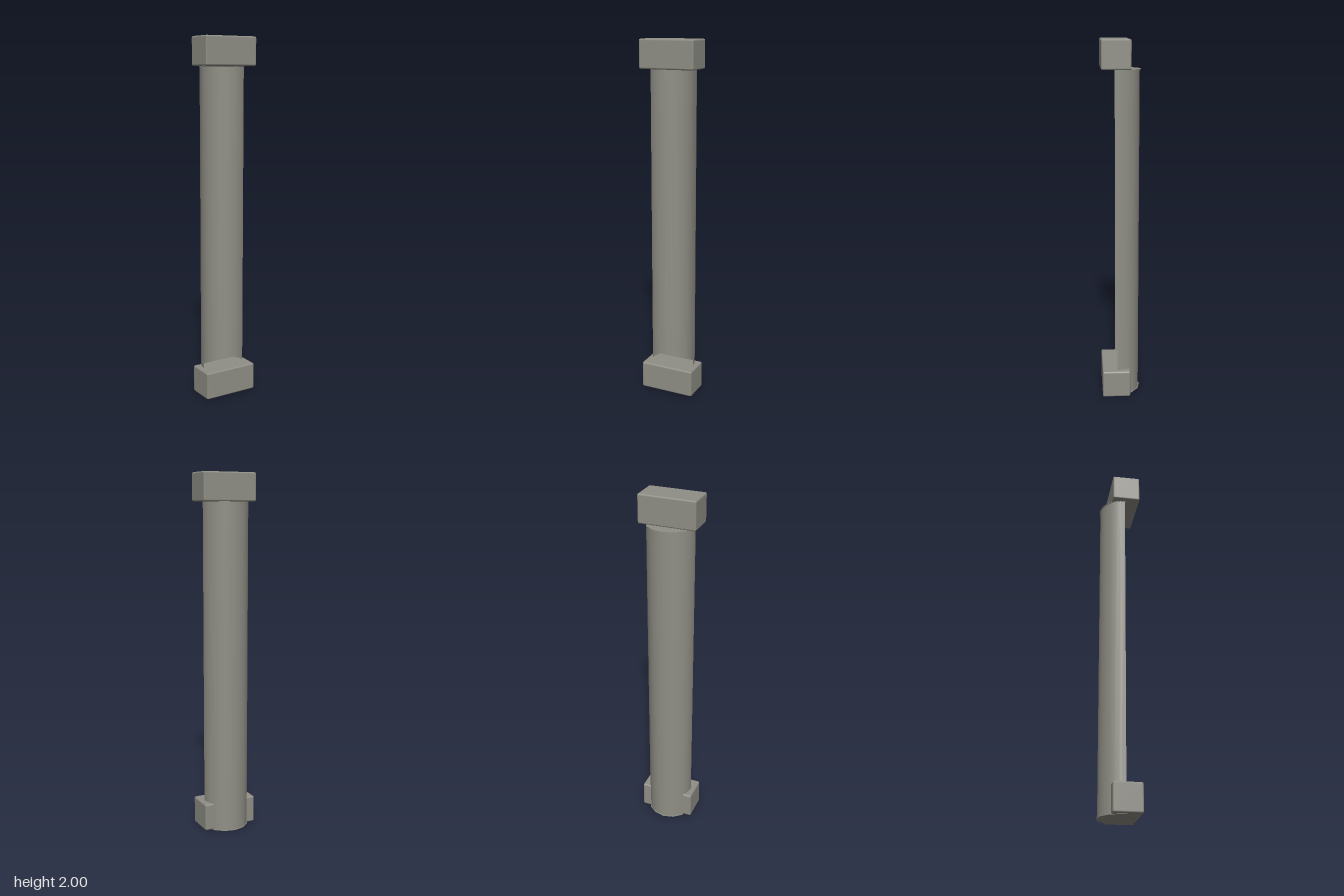
import * as THREE from 'three';
import { RoundedBoxGeometry } from 'three/addons/geometries/RoundedBoxGeometry.js';

export function createModel() {
  const model = new THREE.Group();
  const stone = new THREE.MeshStandardMaterial({ color: 0x908f86, side: THREE.DoubleSide });
  stone.name = 'warm grey';

  const add = (name, geometry, y, z = 0) => {
    const mesh = new THREE.Mesh(geometry, stone);
    mesh.name = name;
    mesh.position.set(0, y, z);
    model.add(mesh);
  };

  // Bevelled blocks at both ends
  const block = () => new RoundedBoxGeometry(0.315, 0.155, 0.158, 1, 0.009);
  add('bottomBlock', block(), 0.0795, 0.029);
  add('topBlock', block(), 1.9225, 0.029);

  // Hollow half-round shaft, open to the front
  const shaft = new THREE.CylinderGeometry(0.13, 0.13, 1.843, 14, 1, true, Math.PI / 2, Math.PI);
  shaft.scale(1, 1, 0.98);
  add('shaft', shaft, 0.9235, 0.024);

  // Thin half-disc plates closing the shaft ends
  const plate = () => new THREE.CylinderGeometry(0.133, 0.133, 0.004, 7 * 2, 1, false);
  for (const [name, y] of [['bottomPlate', 0.002], ['topPlate', 1.843]]) {
    const g = plate();
    // Flatten the front half of the disc onto the open side
    const p = g.attributes.position;
    for (let i = 0; i < p.count; i++) p.setZ(i, Math.min(p.getZ(i), 0.006));
    add(name, g, y, 0.023);
  }
  return model;
}
